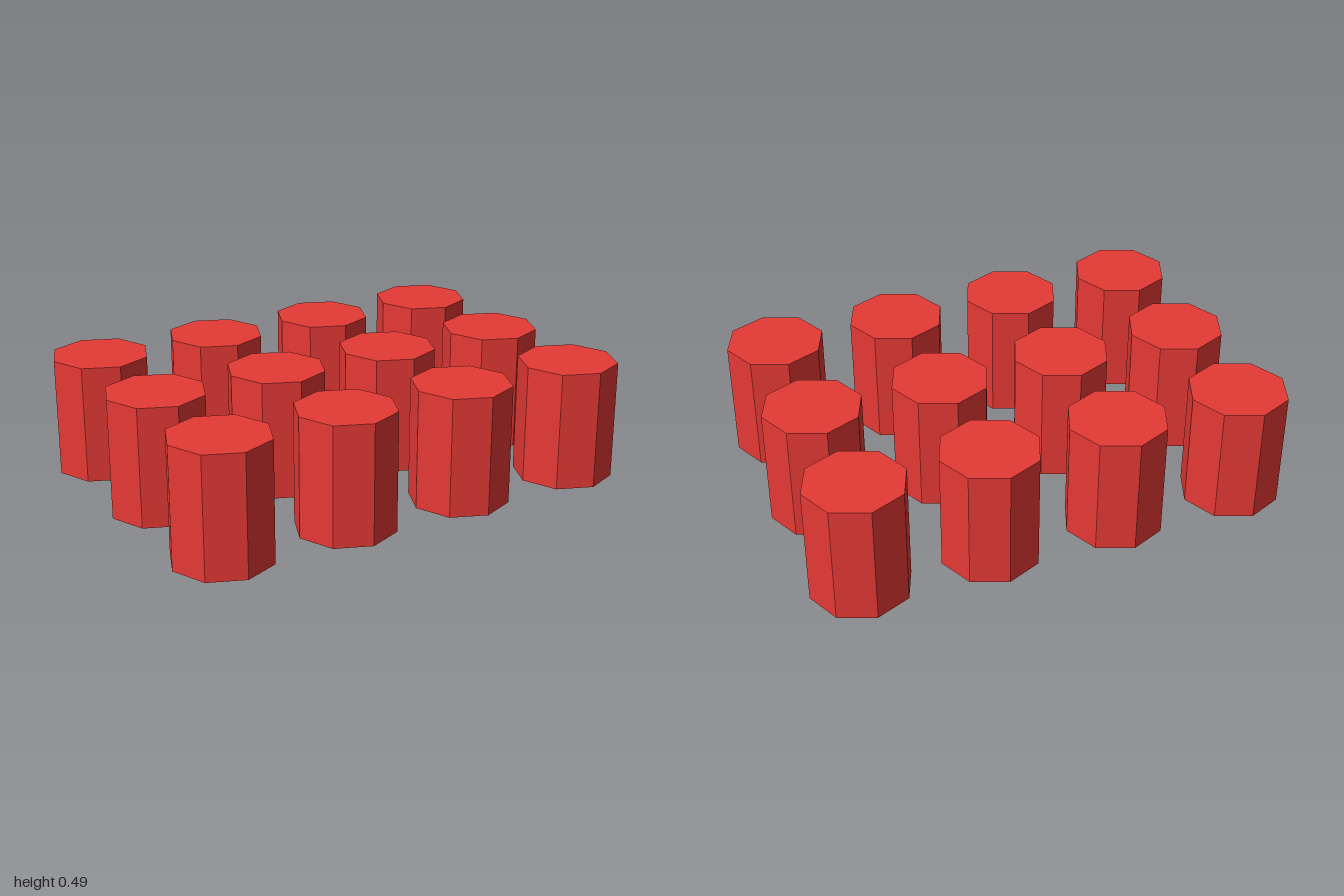
import * as THREE from 'three';

export function createModel() {
  const group = new THREE.Group();
  group.name = 'pegGrid';

  const radius = 0.203, height = 0.49, spacing = 0.531;
  const columns = 4, rows = 3;

  // One octagonal peg, corners on the x and z axes, shared by the whole grid
  const geometry = new THREE.CylinderGeometry(radius, radius, height, 8);
  const material = new THREE.MeshStandardMaterial({ color: 0xe53935, flatShading: true });

  // Rows run front to back, columns run across
  for (let row = 0; row < rows; row++) {
    for (let col = 0; col < columns; col++) {
      const peg = new THREE.Mesh(geometry, material);
      peg.name = `pegRow${row + 1}Column${col + 1}`;
      peg.position.set(
        (col - (columns - 1) / 2) * spacing,
        height / 2,
        (row - (rows - 1) / 2) * spacing
      );
      group.add(peg);
    }
  }
  return group;
}
